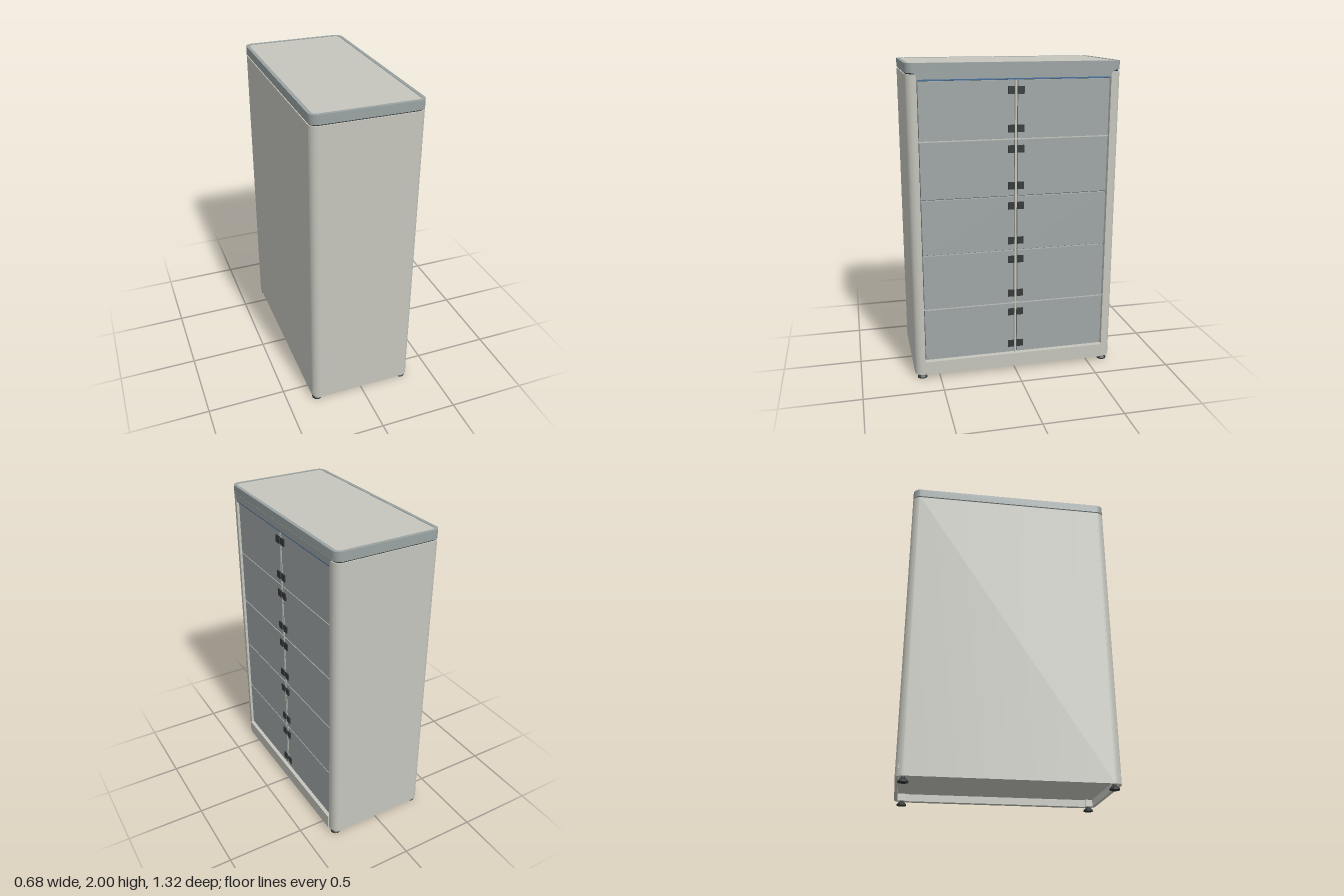
import * as THREE from 'three';
import { toCreasedNormals } from 'three/addons/utils/BufferGeometryUtils.js';

const X0 = -0.341, X1 = 0.334, Z = 0.66; // cabinet footprint
const OPEN = 0.594;                      // half width of the door opening

const mat = (color) => new THREE.MeshStandardMaterial({ color });

function addMesh(parent, name, geometry, material) {
  const mesh = new THREE.Mesh(geometry, material);
  mesh.name = name;
  parent.add(mesh);
  return mesh;
}

// Box given by its limits on each axis
function addBox(parent, name, material, [x0, x1], [y0, y1], [z0, z1]) {
  const mesh = addMesh(parent, name, new THREE.BoxGeometry(x1 - x0, y1 - y0, z1 - z0), material);
  mesh.position.set((x0 + x1) / 2, (y0 + y1) / 2, (z0 + z1) / 2);
  return mesh;
}

// Rounded footprint rectangle, pulled in by "inset"
function footprint(inset, r, Kind = THREE.Shape) {
  const a = X0 + inset, b = X1 - inset, c = Z - inset, s = new Kind();
  s.moveTo(a + r, -c);
  s.lineTo(b - r, -c);
  s.absarc(b - r, -c + r, r, -Math.PI / 2, 0);
  s.lineTo(b, c - r);
  s.absarc(b - r, c - r, r, 0, Math.PI / 2);
  s.lineTo(a + r, c);
  s.absarc(a + r, c - r, r, Math.PI / 2, Math.PI);
  s.lineTo(a, -c + r);
  s.absarc(a + r, -c + r, r, Math.PI, Math.PI * 1.5);
  return s;
}

// C-shaped wall section, open towards +x
function shellSection() {
  const r = 0.05, t = 0.02, s = new THREE.Shape();
  s.moveTo(X1, OPEN);
  s.lineTo(X1, Z - r);
  s.absarc(X1 - r, Z - r, r, 0, Math.PI / 2);
  s.lineTo(X0 + r, Z);
  s.absarc(X0 + r, Z - r, r, Math.PI / 2, Math.PI);
  s.lineTo(X0, -Z + r);
  s.absarc(X0 + r, -Z + r, r, Math.PI, Math.PI * 1.5);
  s.lineTo(X1 - r, -Z);
  s.absarc(X1 - r, -Z + r, r, -Math.PI / 2, 0);
  s.lineTo(X1, -OPEN);
  s.lineTo(X1 - 0.05, -OPEN);
  s.lineTo(X1 - 0.05, -Z + t);
  s.lineTo(X0 + t, -Z + t);
  s.lineTo(X0 + t, Z - t);
  s.lineTo(X1 - 0.05, Z - t);
  s.lineTo(X1 - 0.05, OPEN);
  return s;
}

// Extrude a plan section upwards from y0 to y1
function riser(shape, y0, y1) {
  const g = new THREE.ExtrudeGeometry(shape, { depth: y1 - y0, bevelEnabled: false, curveSegments: 10 });
  return toCreasedNormals(g.rotateX(-Math.PI / 2).translate(0, y0, 0), 0.5);
}

export function createModel() {
  const model = new THREE.Group();
  model.name = 'lockerCabinet';
  const shell = mat(0xc6c6be), trim = mat(0x9aa3a2), door = mat(0xa0a7a7);
  const dark = mat(0x35393a), seam = mat(0x4a4e4e), blue = mat(0x3f6c9c);

  // Body
  addMesh(model, 'bodyShell', riser(shellSection(), 0.03, 1.937), shell);
  addBox(model, 'bottomPanel', shell, [X0 + 0.01, X1 - 0.02], [0.075, 0.095], [-Z + 0.015, Z - 0.015]);
  addBox(model, 'plinth', shell, [0.3, 0.341], [0.03, 0.12], [-OPEN, OPEN]);
  addBox(model, 'doorBacking', seam, [0.285, 0.299], [0.095, 1.93], [-0.6, 0.6]);

  // Top cap: rim with an inset panel, over a thin dark joint
  addMesh(model, 'capJoint', riser(footprint(0.008, 0.042), 1.93, 1.946), dark);
  const rim = footprint(0, 0.05);
  rim.holes.push(footprint(0.022, 0.028, THREE.Path));
  addMesh(model, 'capRim', riser(rim, 1.945, 2), trim);
  addMesh(model, 'topPanel', riser(footprint(0.023, 0.027), 1.945, 1.998), shell);

  // Cap skirt above the doors, with rounded ends
  const w = 0.622, f = 0.028, skirt = new THREE.Shape();
  skirt.moveTo(-w, 1.95);
  skirt.lineTo(-w, 1.943);
  skirt.quadraticCurveTo(-w + f, 1.943, -w + f, 1.906);
  skirt.lineTo(w - f, 1.906);
  skirt.quadraticCurveTo(w - f, 1.943, w, 1.943);
  skirt.lineTo(w, 1.95);
  const skirtGeo = new THREE.ExtrudeGeometry(skirt, { depth: 0.036, bevelEnabled: false, curveSegments: 8 });
  skirtGeo.rotateY(Math.PI / 2).translate(0.299, 0, 0);
  addMesh(model, 'capSkirt', toCreasedNormals(skirtGeo, 0.5), trim);
  addBox(model, 'blueStrip', blue, [0.299, 0.332], [1.898, 1.907], [-OPEN, OPEN]);

  // Doors in five rows and two columns, each with a pair of hinges
  const rows = [0.122, 0.47, 0.83, 1.183, 1.54, 1.898];
  const hinges = [[0.185, 0.41], [0.54, 0.77], [0.895, 1.122], [1.25, 1.48], [1.605, 1.835]];
  const doors = new THREE.Group();
  doors.name = 'doors';
  model.add(doors);
  for (let i = 0; i < 5; i++) {
    for (const side of [-1, 1]) {
      const span = (a, b) => (side > 0 ? [a, b] : [-b, -a]);
      addBox(doors, 'door', door, [0.298, 0.32], [rows[i] + 0.004, rows[i + 1] - 0.004], span(0.012, 0.588));
      for (const y of hinges[i]) {
        addBox(doors, 'hinge', dark, [0.315, 0.327], [y - 0.023, y + 0.023], span(0.009, 0.05));
      }
    }
  }
  addBox(model, 'centreDivider', shell, [0.298, 0.32], [0.12, 1.898], [-0.006, 0.006]);
  for (const y of [rows[1], rows[4]]) {
    addBox(model, 'shelfEdge', shell, [0.298, 0.316], [y - 0.003, y + 0.003], [-OPEN, OPEN]);
  }

  // Levelling feet
  const profile = [[0, 0], [0.031, 0], [0.031, 0.008], [0.017, 0.022], [0.011, 0.026], [0.011, 0.08]];
  const footGeo = toCreasedNormals(
    new THREE.LatheGeometry(profile.map(([x, y]) => new THREE.Vector2(x, y)), 20), 0.5);
  for (const x of [X0 + 0.037, X1 - 0.037]) {
    for (const z of [-0.613, 0.613]) {
      addMesh(model, 'foot', footGeo, dark).position.set(x, 0, z);
    }
  }
  return model;
}
